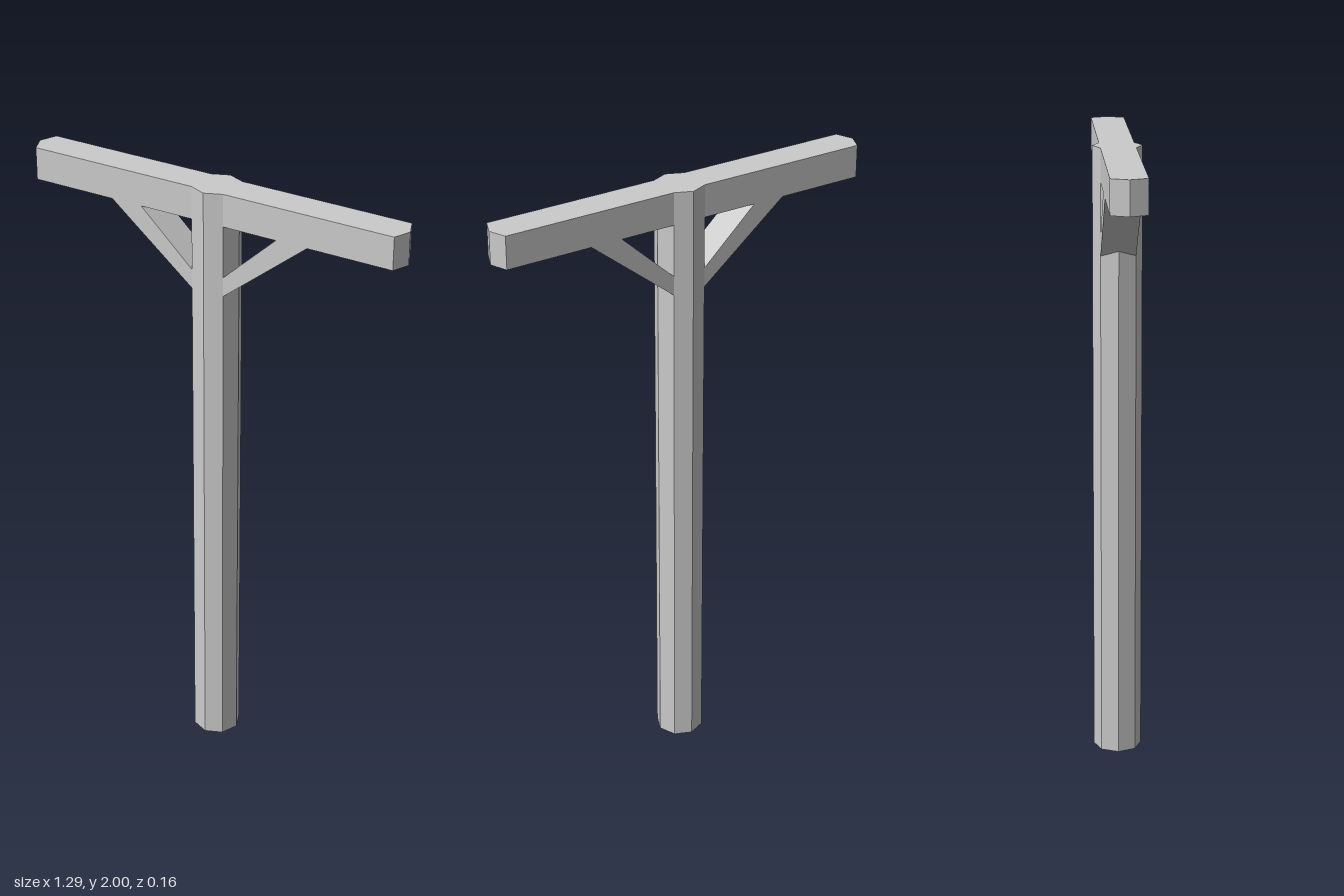
import * as THREE from 'three';

const R = 0.078;            // octagon corner radius of the post
const C = R * Math.SQRT1_2; // half thickness of beam and braces
const TOP = 2, BEAM_Y = 1.895;

const material = new THREE.MeshStandardMaterial({ color: 0xcccccc, flatShading: true });

function addPart(group, name, geometry) {
  const mesh = new THREE.Mesh(geometry, material);
  mesh.name = name;
  group.add(mesh);
}

function extrude(points, depth) {
  const shape = new THREE.Shape(points.map(([x, y]) => new THREE.Vector2(x, y)));
  return new THREE.ExtrudeGeometry(shape, { depth, bevelEnabled: false });
}

export function createModel() {
  const group = new THREE.Group();
  group.name = 'timberPost';

  // Octagonal post, up to the underside of the beam
  const post = new THREE.CylinderGeometry(R, R, BEAM_Y, 8);
  post.translate(0, BEAM_Y / 2, 0);
  addPart(group, 'post', post);

  // Crossbeam with pointed ends, merged with the head of the post
  const beam = extrude([
    [-0.643, 0], [-0.62, -C], [-C, -C], [0, -R], [C, -C], [0.62, -C],
    [0.643, 0], [0.62, C], [C, C], [0, R], [-C, C], [-0.62, C],
  ], TOP - BEAM_Y);
  beam.rotateX(-Math.PI / 2);
  beam.translate(0, BEAM_Y, 0);
  addPart(group, 'crossbeam', beam);

  // Diagonal braces, mirrored left and right
  for (const [name, side] of [['leftBrace', 1], ['rightBrace', -1]]) {
    const brace = extrude([
      [C * side, 1.665], [0.34 * side, BEAM_Y], [0.235 * side, BEAM_Y], [C * side, 1.728],
    ], 2 * C);
    brace.translate(0, 0, -C);
    addPart(group, name, brace);
  }
  return group;
}
